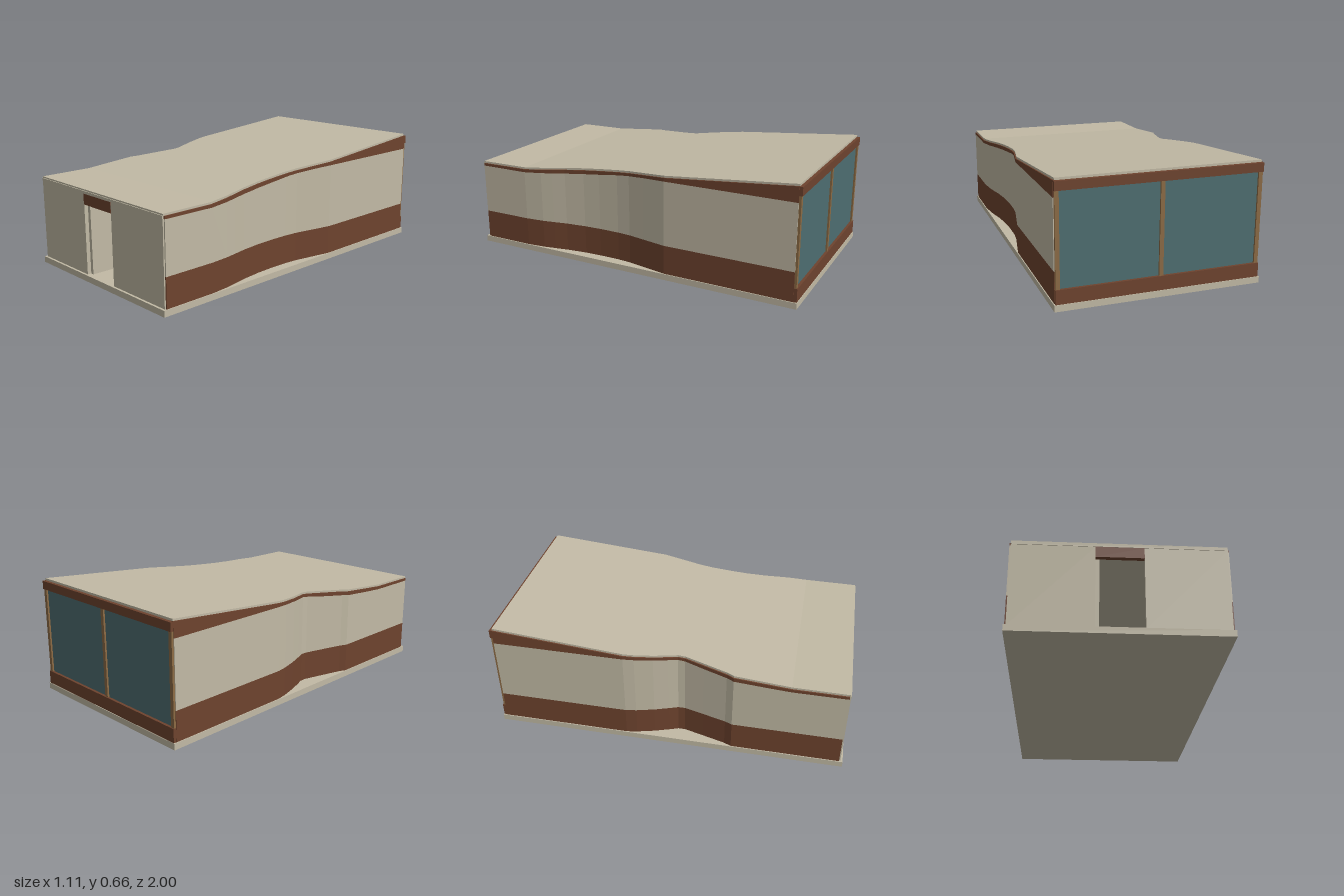
import * as THREE from 'three';

const mat = (name, color, extra = {}) => Object.assign(new THREE.MeshStandardMaterial({ color, ...extra }), { name });

// Linear interpolation through [z, value] points sorted by z
function along(points, z) {
  if (z <= points[0][0]) return points[0][1];
  for (let i = 1; i < points.length; i++) {
    const [z0, v0] = points[i - 1], [z1, v1] = points[i];
    if (z <= z1) return v0 + (v1 - v0) * (z - z0) / (z1 - z0);
  }
  return points[points.length - 1][1];
}

// Solid of rectangular cross-sections along z; section(z) returns [xMin, xMax, yMin, yMax]
function loft(zs, section) {
  const pos = [];
  const rings = zs.map((z) => {
    const [a, b, lo, hi] = section(z);
    return [[a, lo, z], [b, lo, z], [b, hi, z], [a, hi, z]];
  });
  const quad = (p, q, r, s) => pos.push(...p, ...q, ...r, ...p, ...r, ...s);
  for (let i = 0; i < rings.length - 1; i++) {
    for (let j = 0; j < 4; j++) {
      const k = (j + 1) % 4;
      quad(rings[i][j], rings[i][k], rings[i + 1][k], rings[i + 1][j]);
    }
  }
  quad(...rings[rings.length - 1]);
  quad(...[...rings[0]].reverse());
  const g = new THREE.BufferGeometry();
  g.setAttribute('position', new THREE.Float32BufferAttribute(pos, 3));
  g.computeVertexNormals();
  return g;
}

export function createModel() {
  const model = new THREE.Group();
  model.name = 'pavilion';
  const plaster = mat('plaster', 0xc2baa5);
  const brown = mat('brown timber', 0x6e432e);
  const glass = mat('glass', 0x4e6e71, { side: THREE.DoubleSide });
  const oak = mat('oak frame', 0x8c6b45);

  const add = (name, geometry, material, parent = model) => {
    const m = new THREE.Mesh(geometry, material);
    m.name = name;
    parent.add(m);
    return m;
  };
  const box = (name, material, x0, x1, y0, y1, z0, z1, parent) => {
    const m = add(name, new THREE.BoxGeometry(x1 - x0, y1 - y0, z1 - z0), material, parent);
    m.position.set((x0 + x1) / 2, (y0 + y1) / 2, (z0 + z1) / 2);
    return m;
  };

  // Plan outlines of the two pinched side walls, as [z, distance from centre]
  const leftPlan = [[-0.24, 0.552], [-0.1, 0.525], [0, 0.506], [0.08, 0.499], [0.2, 0.498],
    [0.3, 0.502], [0.42, 0.515], [0.5, 0.53], [0.57, 0.542], [0.68, 0.552]];
  const rightPlan = [[-0.24, 0.552], [-0.18, 0.542], [-0.08, 0.515], [0, 0.487], [0.05, 0.468],
    [0.09, 0.468], [0.2, 0.498], [0.33, 0.534], [0.37, 0.552]];
  const roofTop = [[-0.98, 0.66], [0.68, 0.515], [0.99, 0.513]];
  const wallTop = [[-0.24, 0.565], [-0.12, 0.558], [0.05, 0.543], [0.2, 0.525], [0.36, 0.51], [0.57, 0.494], [0.68, 0.487]];
  const roofAt = (z) => along(roofTop, z);
  const zs = [...new Set([-0.98, 0.98, ...leftPlan.map((p) => p[0]), ...rightPlan.map((p) => p[0])])].sort((a, b) => a - b);

  // Base slab
  box('baseSlab', plaster, -0.557, 0.557, 0, 0.035, -1, 1);

  // Side walls in three bands: skirting, plaster and fascia
  const bands = [
    ['skirting', brown, () => 0.035, () => 0.2],
    ['sideWall', plaster, () => 0.2, (z) => along(wallTop, z)],
    ['roofFascia', brown, (z) => along(wallTop, z), (z) => roofAt(z) - 0.011],
  ];
  for (const [side, sign, plan] of [['left', 1, leftPlan], ['right', -1, rightPlan]]) {
    for (const [name, material, lo, hi] of bands) {
      add(side + name[0].toUpperCase() + name.slice(1), loft(zs, (z) => {
        const outer = along(plan, z), inner = outer - 0.014;
        return sign > 0 ? [inner, outer, lo(z), hi(z)] : [-outer, -inner, lo(z), hi(z)];
      }), material);
    }
  }

  // Sloping roof following both wall outlines
  add('roof', loft([...zs.slice(0, -1), 0.985], (z) => [
    -along(rightPlan, z) + 0.007, along(leftPlan, z) - 0.007, roofAt(z) - 0.012, roofAt(z)]), plaster);

  // Front wall with doorway
  const front = new THREE.Group();
  front.name = 'frontWall';
  model.add(front);
  box('frontPanelRight', plaster, -0.545, -0.123, 0.035, 0.49, 0.965, 0.987, front);
  box('frontPanelLeft', plaster, 0.123, 0.545, 0.035, 0.49, 0.965, 0.987, front);
  box('doorLintel', brown, -0.123, 0.123, 0.43, 0.49, 0.965, 0.989, front);
  box('roofEdge', plaster, -0.545, 0.545, 0.49, 0.505, 0.965, 0.99, front);

  // Glazed back wall
  const back = new THREE.Group();
  back.name = 'backWall';
  model.add(back);
  box('backSill', brown, -0.55, 0.55, 0.035, 0.11, -0.997, -0.97, back);
  box('backBeam', brown, -0.55, 0.55, 0.6, 0.647, -0.997, -0.97, back);
  box('backGlass', glass, -0.54, 0.54, 0.11, 0.6, -0.982, -0.976, back);
  for (const x of [-0.537, 0, 0.537]) box('mullion', oak, x - 0.011, x + 0.011, 0.11, 0.6, -0.992, -0.968, back);

  // Interior partitions and simple furniture
  const interior = new THREE.Group();
  interior.name = 'interior';
  model.add(interior);
  box('hallWall', plaster, -0.123, -0.102, 0.035, 0.43, 0.35, 0.965, interior);
  box('partition', plaster, -0.102, 0.055, 0.035, 0.4, 0.1, 0.125, interior);
  box('partitionCap', brown, -0.102, 0.055, 0.4, 0.41, 0.1, 0.125, interior);
  box('rug', glass, 0.0, 0.3, 0.035, 0.039, 0.2, 0.5, interior);
  box('cabinet', brown, 0.08, 0.3, 0.035, 0.18, -0.4, -0.3, interior);
  return model;
}
